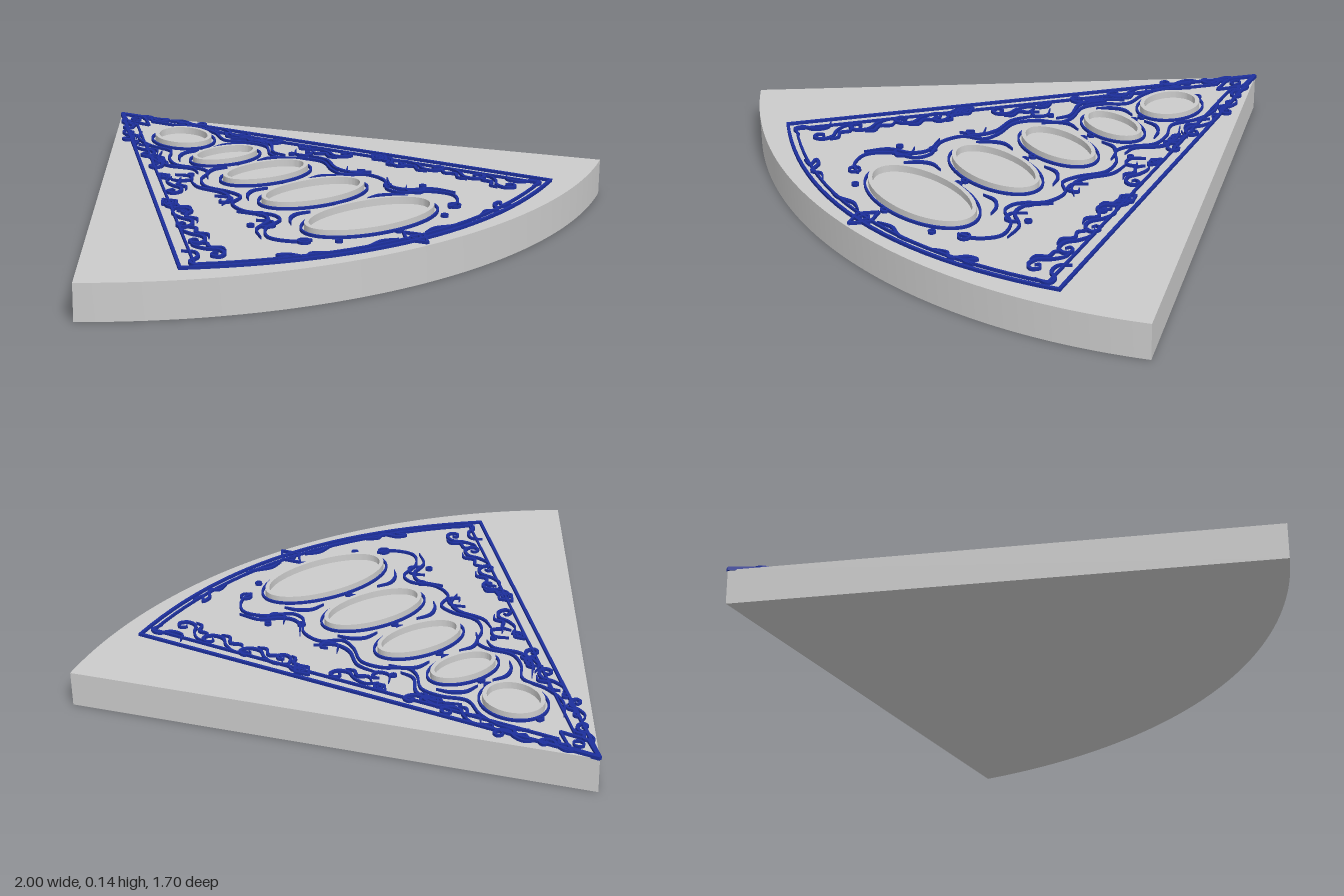
import * as THREE from 'three';
import { toCreasedNormals } from 'three/addons/utils/BufferGeometryUtils.js';

const TOP = 0.115, APEX = -0.85, RADIUS = 1.7, HALF = Math.PI / 5;
const LINE_TOP = 0.124, RIM_TOP = 0.138;

export function createModel() {
  const root = new THREE.Group();
  root.name = 'wedgePanel';
  const grey = new THREE.MeshStandardMaterial({ color: 0xcccccc });
  const blue = new THREE.MeshStandardMaterial({ color: 0x1c2f9c });

  const group = (name) => {
    const g = new THREE.Group();
    g.name = name;
    root.add(g);
    return g;
  };
  const add = (parent, name, geometry, material) => {
    const m = new THREE.Mesh(geometry, material);
    m.name = name;
    parent.add(m);
  };

  // Extrude a plan drawn in (x, -z) between two heights
  const slab = (shape, y0, y1) => {
    const g = new THREE.ExtrudeGeometry(shape, { depth: y1 - y0, bevelEnabled: false, curveSegments: 48 });
    g.rotateX(-Math.PI / 2).translate(0, y0, 0);
    return toCreasedNormals(g, 0.5);
  };

  // Raised line of rectangular section swept along plan points [x, z]
  const stroke = (parent, name, pts, { w = 0.009, taper = false, closed = false, straight = false } = {}) => {
    const v = pts.map(([x, z]) => new THREE.Vector3(x, 0, z));
    const path = new THREE.CatmullRomCurve3(v, closed, 'centripetal');
    const n = straight ? v.length - 1 : v.length * 6;
    const pos = [], idx = [];
    for (let i = 0; i <= n; i++) {
      const t = i / n;
      const p = straight ? v[i] : path.getPoint(t);
      const d = straight ? v[Math.min(i + 1, n)].clone().sub(v[Math.max(i - 1, 0)]).normalize() : path.getTangent(t);
      const h = (w / 2) * (taper ? 0.3 + 0.9 * Math.sin(Math.PI * t) : 1);
      const sx = -d.z * h, sz = d.x * h;
      pos.push(p.x - sx, TOP - 0.003, p.z - sz, p.x - sx, LINE_TOP, p.z - sz,
        p.x + sx, LINE_TOP, p.z + sz, p.x + sx, TOP - 0.003, p.z + sz);
      if (i < n) for (let k = 0; k < 4; k++) {
        const a = i * 4 + k, b = i * 4 + (k + 1) % 4;
        idx.push(a, b, a + 4, b, b + 4, a + 4);
      }
    }
    if (!closed) idx.push(0, 2, 1, 0, 3, 2, n * 4, n * 4 + 1, n * 4 + 2, n * 4, n * 4 + 2, n * 4 + 3);
    const g = new THREE.BufferGeometry();
    g.setAttribute('position', new THREE.Float32BufferAttribute(pos, 3));
    g.setIndex(idx);
    add(parent, name, toCreasedNormals(g, 0.6), blue);
  };
  const mirrored = (parent, name, pts, opt) => {
    for (const s of [1, -1]) stroke(parent, name, pts.map(([x, z]) => [s * x, z]), opt);
  };
  const ellipse = (x, z, rx, rz, n) => Array.from({ length: n }, (_, i) => {
    const a = (i / n) * Math.PI * 2;
    return [x + rx * Math.cos(a), z + rz * Math.sin(a)];
  });

  // Slab: a 72 degree sector
  const sector = new THREE.Shape();
  sector.moveTo(0, -APEX);
  sector.lineTo(-RADIUS * Math.sin(HALF), -APEX - RADIUS * Math.cos(HALF));
  sector.absarc(0, -APEX, RADIUS, -Math.PI / 2 - HALF, -Math.PI / 2 + HALF);
  sector.closePath();
  add(root, 'base', slab(sector, 0, TOP), grey);

  // Border: double lines on the sides and the curved end
  const border = group('border');
  const arc = (x, zEnd, zMid) => Array.from({ length: 25 }, (_, i) => {
    const u = i / 12 - 1;
    return [u * x, zMid - (zMid - zEnd) * u * u];
  });
  mirrored(border, 'outerSideLine', [[0, APEX], [0.703, 0.61]], { straight: true, w: 0.01 });
  mirrored(border, 'innerSideLine', [[0.03, -0.7], [0.652, 0.607]], { straight: true, w: 0.007 });
  stroke(border, 'outerEndLine', arc(0.703, 0.605, 0.805), { straight: true, w: 0.01 });
  stroke(border, 'innerEndLine', arc(0.652, 0.605, 0.78), { straight: true, w: 0.007 });

  // Oval settings: grey rim, outlined by a blue line
  const settings = group('ovalSettings');
  const ovals = [[-0.45, 0.09, 0.106], [-0.198, 0.118, 0.071], [0.033, 0.155, 0.085],
    [0.288, 0.185, 0.098], [0.572, 0.23, 0.118]];
  for (const [z, rx, rz] of ovals) {
    const rim = new THREE.Shape().absellipse(0, -z, rx, rz, 0, Math.PI * 2);
    rim.holes.push(new THREE.Path().absellipse(0, -z, rx - 0.014, rz - 0.014, 0, Math.PI * 2));
    add(settings, 'ovalRim', slab(rim, TOP - 0.003, RIM_TOP), grey);
    stroke(settings, 'ovalOutline', ellipse(0, z, rx + 0.01, rz + 0.012, 24), { closed: true, w: 0.007 });
    for (const s of [-1, 1]) {
      stroke(settings, 'ovalBead', ellipse(0, z + s * (rz + 0.022), 0.011, 0.008, 8), { closed: true, w: 0.006 });
    }
  }

  // Flowing ribbons beside the ovals
  const ribbons = group('ribbons');
  const wave = [[0.07, -0.61], [0.12, -0.54], [0.13, -0.45], [0.11, -0.36], [0.16, -0.29], [0.18, -0.22],
    [0.14, -0.14], [0.14, -0.09], [0.2, -0.04], [0.23, 0.03], [0.2, 0.12], [0.2, 0.18], [0.26, 0.22],
    [0.27, 0.3], [0.22, 0.38], [0.23, 0.43], [0.31, 0.47], [0.35, 0.54], [0.31, 0.61], [0.26, 0.63]];
  mirrored(ribbons, 'innerRibbon', wave, { w: 0.008 });
  const outerWave = wave.slice(3, 18).map(([x, z], i) => [x + 0.028 + 0.008 * Math.sin(i * 1.7), z - 0.01]);
  for (let i = 0; i < 15; i += 5) {
    mirrored(ribbons, 'outerRibbon', outerWave.slice(i, i + 5), { taper: true });
  }
  // Loose curls closing in between neighbouring ovals
  for (const [z, x] of [[-0.31, 0.06], [-0.1, 0.09], [0.155, 0.11], [0.42, 0.14]]) {
    mirrored(ribbons, 'innerCurl', [[x - 0.03, z], [x + 0.02, z - 0.005], [x + 0.06, z + 0.02],
      [x + 0.085, z + 0.06]], { taper: true });
    mirrored(ribbons, 'outerCurl', [[x + 0.15, z - 0.03], [x + 0.12, z + 0.01], [x + 0.14, z + 0.045],
      [x + 0.17, z + 0.03], [x + 0.155, z + 0.012]], { taper: true, w: 0.008 });
  }

  // Leaf scrolls along the sides: a stem with a curled tip and a leaf
  const scrolls = group('scrolls');
  const scroll = (x, z, size, angle) => {
    const c = Math.cos(angle) * size, s = Math.sin(angle) * size;
    const place = ([u, v]) => [x + u * c - v * s, z + u * s + v * c];
    mirrored(scrolls, 'scrollStem', [[0, -1], [0.25, -0.6], [0.15, -0.1], [-0.1, 0.3], [0, 0.7], [0.3, 0.8],
      [0.42, 0.55], [0.22, 0.42], [0.14, 0.56]].map(place), { taper: true });
    mirrored(scrolls, 'scrollLeaf', [[0.05, -0.75], [-0.2, -0.45], [-0.05, -0.1], [-0.3, 0.2],
      [-0.22, 0.5]].map(place), { taper: true });
  };
  const sideScrolls = [[0.05, -0.72, 0.065, -0.3], [0.12, -0.6, 0.07, -0.4], [0.165, -0.42, 0.09, -0.2],
    [0.205, -0.28, 0.08, -0.5], [0.3, -0.03, 0.09, -0.4], [0.41, 0.16, 0.07, 0.2], [0.45, 0.25, 0.1, -0.3],
    [0.505, 0.39, 0.1, -0.2], [0.54, 0.52, 0.09, 0.1]];
  sideScrolls.forEach((s) => scroll(...s));
  mirrored(scrolls, 'cornerScroll', [[0.62, 0.49], [0.595, 0.52], [0.61, 0.56], [0.65, 0.58], [0.655, 0.61],
    [0.61, 0.62]], { taper: true });
  mirrored(scrolls, 'endScroll', [[0.29, 0.74], [0.33, 0.72], [0.36, 0.735], [0.39, 0.69], [0.42, 0.68],
    [0.4, 0.715], [0.44, 0.71]], { taper: true });
  mirrored(scrolls, 'endLeaf', [[0.05, 0.77], [0.1, 0.755], [0.16, 0.77], [0.24, 0.755]], { taper: true });

  // Diamonds, each with a round centre
  const diamonds = group('diamonds');
  const diamond = (x, z, rx, rz) => {
    const corners = [[x, z - rz], [x + rx, z], [x, z + rz], [x - rx, z], [x, z - rz]];
    for (let i = 0; i < 4; i++) {
      stroke(diamonds, 'diamondSide', corners.slice(i, i + 2), { straight: true, w: 0.008 });
    }
    stroke(diamonds, 'diamondCentre', ellipse(x, z, rx * 0.4, rx * 0.5, 8), { closed: true, w: 0.006 });
  };
  diamond(0, -0.755, 0.036, 0.085);
  diamond(0, 0.785, 0.034, 0.056);
  for (const s of [-1, 1]) {
    diamond(s * 0.278, -0.135, 0.018, 0.03);
    diamond(s * 0.41, 0.1, 0.026, 0.038);
  }

  // Scattered small rings
  const rings = group('smallRings');
  for (const [x, z, r] of [[0.285, 0.625, 0.018], [0.245, 0.35, 0.011], [0.2, 0.68, 0.009],
    [0.15, -0.52, 0.011], [0.2, -0.1, 0.008], [0.33, 0.42, 0.009]]) {
    mirrored(rings, 'smallRing', ellipse(x, z, r, r, 8), { closed: true, w: 0.006 });
  }
  return root;
}
